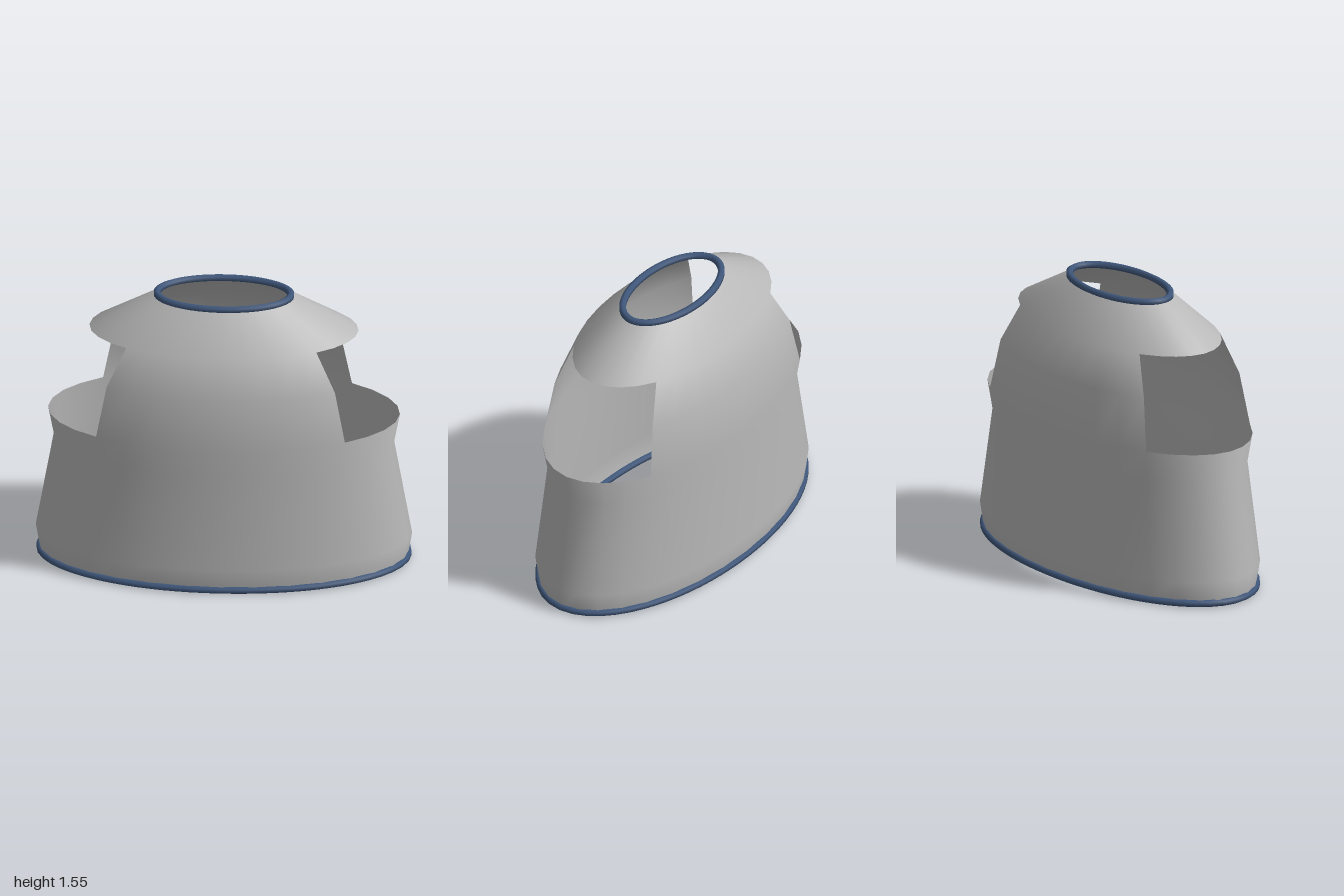
import * as THREE from 'three';

const SEGMENTS = 32;

// Elliptical cross-sections of the shell: [height, half width x, half depth z]
const SECTIONS = [
  [0.0175, 0.98, 0.495],
  [0.14, 1.0, 0.513],
  [0.68, 0.905, 0.474],
  [0.84, 0.935, 0.5],
  [1.12, 0.858, 0.46],
  [1.33, 0.715, 0.387],
  [1.53, 0.356, 0.19],
];

// Smooth shell skinned over the sections, with a side opening left and right
function shellGeometry() {
  const positions = [];
  const all = [];
  const kept = [];
  SECTIONS.forEach(([y, rx, rz]) => {
    for (let i = 0; i < SEGMENTS; i++) {
      const a = (i / SEGMENTS) * Math.PI * 2;
      positions.push(rx * Math.cos(a), y, rz * Math.sin(a));
    }
  });
  for (let row = 0; row < SECTIONS.length - 1; row++) {
    for (let i = 0; i < SEGMENTS; i++) {
      const j = (i + 1) % SEGMENTS;
      const a = row * SEGMENTS + i, b = row * SEGMENTS + j;
      const c = a + SEGMENTS, d = b + SEGMENTS;
      const faces = [a, c, b, b, c, d];
      all.push(...faces);
      // the openings span 45 degrees either side of the x axis
      const mid = ((i + 0.5) / SEGMENTS) * Math.PI * 2;
      const open = (row === 3 || row === 4) && Math.abs(Math.cos(mid)) > Math.SQRT1_2;
      if (!open) kept.push(...faces);
    }
  }
  const geometry = new THREE.BufferGeometry();
  geometry.setAttribute('position', new THREE.Float32BufferAttribute(positions, 3));
  geometry.setIndex(all);
  geometry.computeVertexNormals();
  geometry.setIndex(kept);
  return geometry;
}

// Six-sided tube bent into a horizontal ellipse
function rimGeometry(y, rx, rz) {
  const points = [];
  for (let i = 0; i < SEGMENTS; i++) {
    const a = (i / SEGMENTS) * Math.PI * 2;
    points.push(new THREE.Vector3(rx * Math.cos(a), y, rz * Math.sin(a)));
  }
  const path = new THREE.CatmullRomCurve3(points, true);
  return new THREE.TubeGeometry(path, 64, 0.02, 6, true);
}

export function createModel() {
  const model = new THREE.Group();
  model.name = 'openSidedShell';

  const shellGrey = new THREE.MeshStandardMaterial({ color: 0xb8b8b8, side: THREE.DoubleSide });
  shellGrey.name = 'shellGrey';
  const rimBlue = new THREE.MeshStandardMaterial({ color: 0x40587c });
  rimBlue.name = 'rimBlue';

  const add = (name, geometry, material) => {
    const mesh = new THREE.Mesh(geometry, material);
    mesh.name = name;
    model.add(mesh);
  };

  add('shell', shellGeometry(), shellGrey);
  add('bottomRim', rimGeometry(...SECTIONS[0]), rimBlue);
  add('topRim', rimGeometry(...SECTIONS[SECTIONS.length - 1]), rimBlue);
  return model;
}
